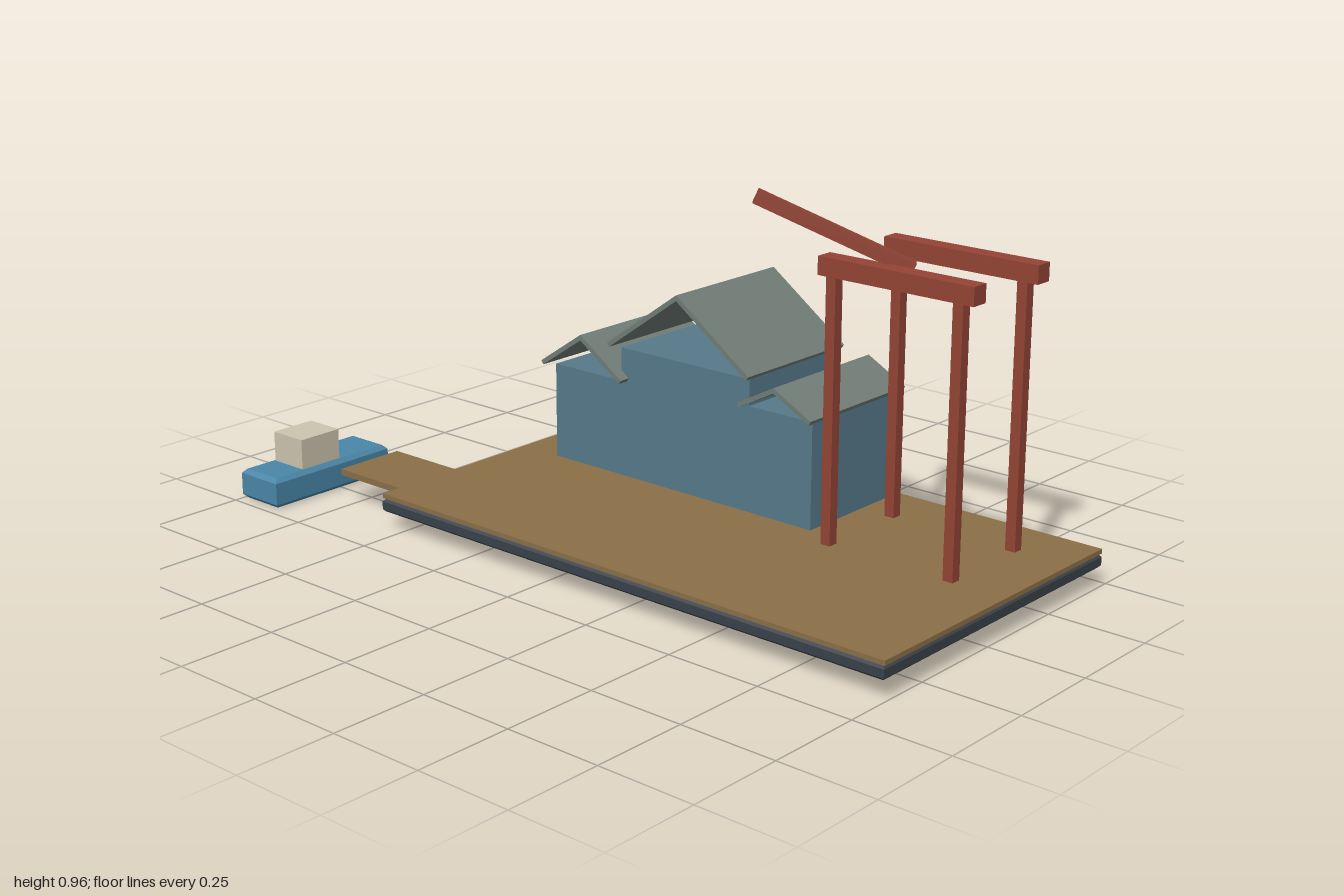
import * as THREE from 'three';

const mat = (name, color) => {
  const m = new THREE.MeshStandardMaterial({ color });
  m.name = name;
  return m;
};

export function createModel() {
  const deckBrown = mat('deckBrown', 0x8a6f48);
  const slate = mat('slate', 0x3a4149);
  const wallBlue = mat('wallBlue', 0x57798a);
  const roofGrey = mat('roofGrey', 0x717d77);
  const rustRed = mat('rustRed', 0x944435);
  const hullBlue = mat('hullBlue', 0x4a86a8);
  const cream = mat('cream', 0xccc4ae);

  const model = new THREE.Group();
  model.name = 'harbourYard';

  const group = (name) => {
    const g = new THREE.Group();
    g.name = name;
    model.add(g);
    return g;
  };

  const place = (parent, name, geo, material, x, y, z) => {
    const m = new THREE.Mesh(geo, material);
    m.name = name;
    m.position.set(x, y, z);
    parent.add(m);
    return m;
  };

  // Box given by its extents on each axis
  const box = (parent, name, material, x0, x1, y0, y1, z0, z1) =>
    place(parent, name, new THREE.BoxGeometry(x1 - x0, y1 - y0, z1 - z0), material,
      (x0 + x1) / 2, (y0 + y1) / 2, (z0 + z1) / 2);

  // Box with all edges chamfered by c
  const chamferBox = (parent, name, material, x0, x1, y0, y1, z0, z1, c) => {
    const w = (x1 - x0) / 2 - c, d = (z1 - z0) / 2 - c;
    const s = new THREE.Shape([
      new THREE.Vector2(-w, -d), new THREE.Vector2(w, -d),
      new THREE.Vector2(w, d), new THREE.Vector2(-w, d),
    ]);
    const geo = new THREE.ExtrudeGeometry(s, {
      depth: y1 - y0 - 2 * c, bevelEnabled: true, bevelSegments: 1, bevelSize: c, bevelThickness: c,
    });
    geo.translate(0, 0, c).rotateX(-Math.PI / 2);
    return place(parent, name, geo, material, (x0 + x1) / 2, y0, (z0 + z1) / 2);
  };

  // Quay: dark foundation, planked deck and jetty
  const quay = group('quay');
  chamferBox(quay, 'foundation', slate, -0.55, 1, 0.048, 0.081, -0.475, 0.39, 0.006);
  box(quay, 'deck', deckBrown, -0.55, 1, 0.083, 0.095, -0.475, 0.388);
  box(quay, 'jetty', deckBrown, -0.78, -0.545, 0.075, 0.091, 0.13, 0.325);

  // Three sheds with open gables under thin pitched roofs
  const T = 0.012;
  const sheds = [
    { name: 'leftShed', x0: -0.422, x1: -0.192, top: 0.35, ridge: [-0.307, 0.455], half: 0.139, eave: 0.361 },
    { name: 'middleShed', x0: -0.192, x1: 0.224, top: 0.438, ridge: [0.015, 0.616], half: 0.229, eave: 0.453 },
    { name: 'rightShed', x0: 0.224, x1: 0.417, top: 0.37, ridge: [0.321, 0.442], half: 0.113, eave: 0.382 },
  ];
  for (const s of sheds) {
    const g = group(s.name);
    box(g, 'walls', wallBlue, s.x0, s.x1, 0.098, s.top, -0.42, -0.11);
    const [rx, ry] = s.ridge;
    const rise = ry - s.eave;
    const len = Math.hypot(s.half, rise);
    const pitch = Math.atan2(rise, s.half);
    for (const side of [-1, 1]) {
      const slope = place(g, side < 0 ? 'roofRight' : 'roofLeft',
        new THREE.BoxGeometry(len, T, 0.38), roofGrey,
        rx + side * (s.half / 2 - Math.sin(pitch) * T / 2),
        (ry + s.eave) / 2 - Math.cos(pitch) * T / 2, -0.27);
      slope.rotation.z = -side * pitch;
    }
  }

  // Two gantry frames
  for (const [name, z] of [['frontGantry', -0.058], ['backGantry', -0.313]]) {
    const g = group(name);
    for (const x of [0.511, 0.858])
      box(g, 'post', rustRed, x - 0.0135, x + 0.0135, 0.103, 0.757, z - 0.0135, z + 0.0135);
    box(g, 'crossbeam', rustRed, 0.48, 0.905, 0.755, 0.8, z - 0.023, z + 0.023);
  }

  // Crane jib tilted up from the front gantry
  const tip = new THREE.Vector3(0.403, 0.95, 0.097);
  const heel = new THREE.Vector3(0.683, 0.787, -0.122);
  const mid = tip.clone().add(heel).multiplyScalar(0.5);
  const jib = place(model, 'craneJib',
    new THREE.BoxGeometry(0.03, 0.032, tip.distanceTo(heel)), rustRed, mid.x, mid.y, mid.z);
  jib.lookAt(tip);

  // Moored boat
  const boat = group('boat');
  chamferBox(boat, 'hull', hullBlue, -1, -0.862, 0, 0.08, 0.09, 0.475, 0.011);
  box(boat, 'cabin', cream, -0.985, -0.876, 0.078, 0.16, 0.248, 0.374);

  return model;
}
